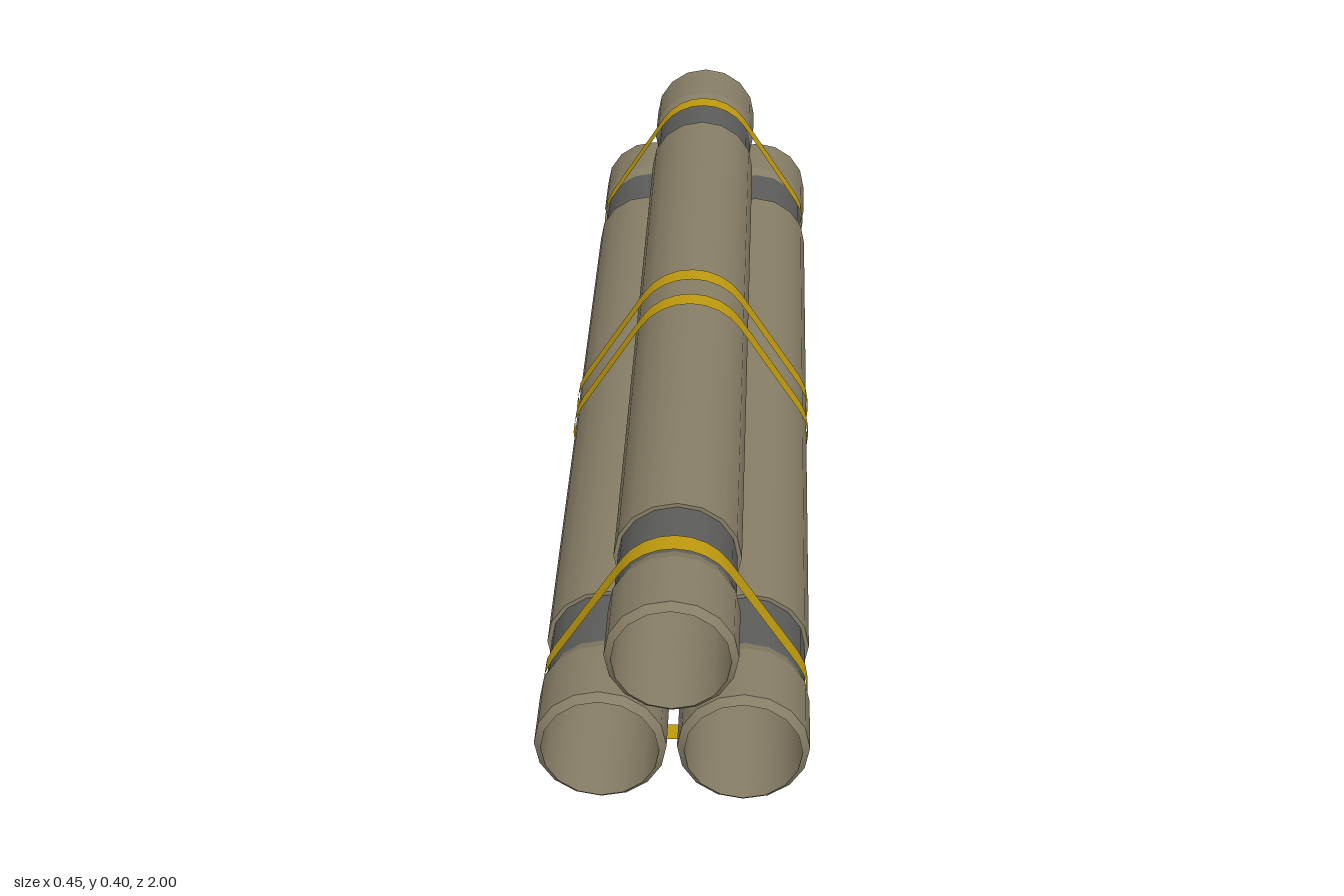
import * as THREE from 'three';
import { mergeGeometries } from 'three/addons/utils/BufferGeometryUtils.js';

const SIDES = 16;
const R = 0.106, INNER = 0.0945, NECK = 0.099;
const LOW_Y = 0.109, TOP_Y = 0.288, SPREAD = 0.1143;

// Lathe along z: crisp between profile segments, smooth around the axis
function turned(points) {
  const parts = [];
  for (let i = 0; i < points.length - 1; i++) {
    const pair = [points[i], points[i + 1]].map(([r, z]) => new THREE.Vector2(r, z));
    parts.push(new THREE.LatheGeometry(pair, SIDES));
  }
  return mergeGeometries(parts).rotateX(Math.PI / 2);
}

// Thin band pulled tight around all three tubes
function strapGeometry(radius, width) {
  const tilt = Math.atan2(SPREAD, TOP_Y - LOW_Y);
  const arcs = [
    [SPREAD, LOW_Y, -Math.PI / 2, tilt],
    [0, TOP_Y, tilt, Math.PI - tilt],
    [-SPREAD, LOW_Y, Math.PI - tilt, Math.PI * 1.5],
  ];
  const steps = 8, position = [], normal = [], index = [];
  for (const [cx, cy, from, to] of arcs) {
    for (let i = 0; i <= steps; i++) {
      const a = from + (to - from) * i / steps;
      const c = Math.cos(a), s = Math.sin(a);
      for (const z of [-width / 2, width / 2]) {
        position.push(cx + radius * c, cy + radius * s, z);
        normal.push(c, s, 0);
      }
    }
  }
  const count = position.length / 6;
  for (let i = 0; i < count; i++) {
    const a = i * 2, b = ((i + 1) % count) * 2;
    index.push(a, b, a + 1, b, b + 1, a + 1);
  }
  const g = new THREE.BufferGeometry();
  g.setAttribute('position', new THREE.Float32BufferAttribute(position, 3));
  g.setAttribute('normal', new THREE.Float32BufferAttribute(normal, 3));
  g.setIndex(index);
  return g;
}

export function createModel() {
  const model = new THREE.Group();
  model.name = 'tubeBundle';

  const material = (name, color) => {
    const m = new THREE.MeshStandardMaterial({ color });
    m.name = name;
    return m;
  };
  const khaki = material('khaki', 0x877e66);
  const grey = material('darkGrey', 0x5c5c5a);
  const yellow = material('yellow', 0xbf9a0e);
  yellow.side = THREE.DoubleSide;

  const add = (parent, name, geometry, mat) => {
    const mesh = new THREE.Mesh(geometry, mat);
    mesh.name = name;
    parent.add(mesh);
    return mesh;
  };

  const body = turned([[NECK, -0.72], [R, -0.72], [R, 0.72], [NECK, 0.72]]);
  const cap = turned([[NECK, 0.845], [R, 0.868], [R, 0.988], [INNER, 1]]);
  const neck = turned([[NECK, 0.72], [NECK, 0.845]]);
  const bore = turned([[INNER, 1], [INNER, -1]]);

  // Three open tubes
  const places = [['topTube', 0, TOP_Y], ['leftTube', SPREAD, LOW_Y], ['rightTube', -SPREAD, LOW_Y]];
  for (const [name, x, y] of places) {
    const tube = new THREE.Group();
    tube.name = name;
    tube.position.set(x, y, 0);
    add(tube, 'tubeBody', body, khaki);
    add(tube, 'tubeBore', bore, khaki);
    for (const [end, turn] of [['front', 0], ['back', Math.PI]]) {
      add(tube, end + 'Collar', cap, khaki).rotation.y = turn;
      add(tube, end + 'Neck', neck, grey).rotation.y = turn;
    }
    model.add(tube);
  }

  // Straps: a pair at the middle and one over the necks at each end
  const middle = strapGeometry(0.109, 0.038);
  const end = strapGeometry(0.103, 0.038);
  for (const s of [1, -1]) {
    const side = s > 0 ? 'front' : 'back';
    add(model, side + 'MiddleStrap', middle, yellow).position.z = s * 0.047;
    add(model, side + 'EndStrap', end, yellow).position.z = s * 0.826;
  }
  return model;
}
